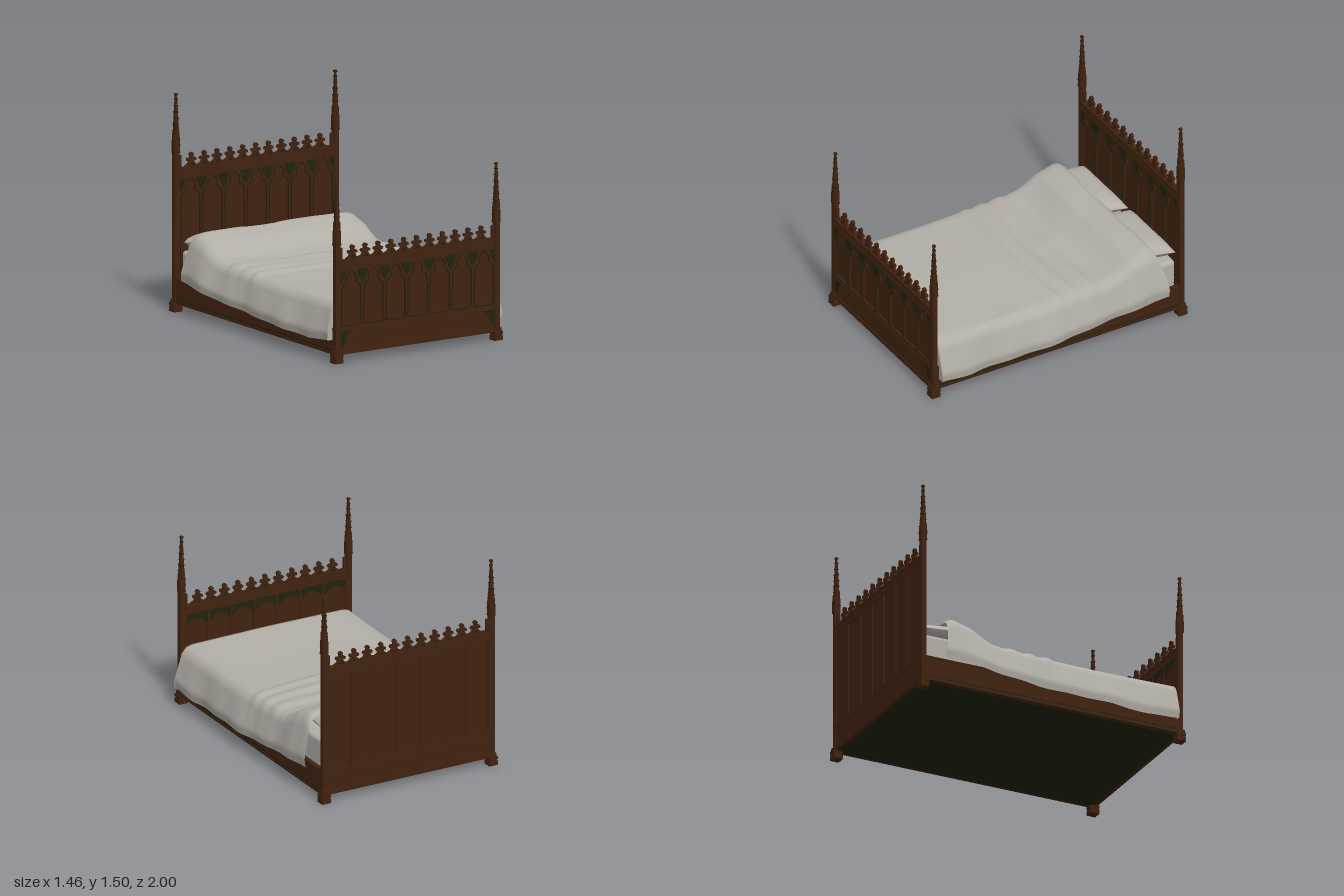
import * as THREE from 'three';
import { RoundedBoxGeometry } from 'three/addons/geometries/RoundedBoxGeometry.js';
import { ParametricGeometry } from 'three/addons/geometries/ParametricGeometry.js';

const wood = new THREE.MeshStandardMaterial({ color: 0x41220f });
wood.name = 'brown wood';
const dark = new THREE.MeshStandardMaterial({ color: 0x20220f });
dark.name = 'dark green stain';
const cloth = new THREE.MeshStandardMaterial({ color: 0xb2aea7, side: THREE.DoubleSide });
cloth.name = 'grey linen';

function add(parent, name, geometry, material, x = 0, y = 0, z = 0) {
  const mesh = new THREE.Mesh(geometry, material);
  mesh.name = name;
  mesh.position.set(x, y, z);
  parent.add(mesh);
  return mesh;
}
// Box given by its width, bottom, top and depth
const slab = (parent, name, mat, w, y0, y1, d, x = 0, z = 0) =>
  add(parent, name, new THREE.BoxGeometry(w, y1 - y0, d), mat, x, (y0 + y1) / 2, z);
const extrude = (shape, depth) =>
  new THREE.ExtrudeGeometry(shape, { depth, bevelEnabled: false, curveSegments: 6 });
const polygon = pts => new THREE.Shape(pts.map(p => new THREE.Vector2(...p)));

// Trefoil-headed opening centred on cx
function archPath(cx, y0, y1) {
  const w = 0.077, p = new THREE.Path();
  p.moveTo(cx - w, y0 + 0.012);
  p.lineTo(cx + w, y0 + 0.012);
  p.lineTo(cx + w, y1 - 0.15);
  p.quadraticCurveTo(cx + w, y1 - 0.1, cx + 0.03, y1 - 0.093);
  p.bezierCurveTo(cx + 0.056, y1 - 0.06, cx + 0.034, y1 - 0.03, cx, y1 - 0.014);
  p.bezierCurveTo(cx - 0.034, y1 - 0.03, cx - 0.056, y1 - 0.06, cx - 0.03, y1 - 0.093);
  p.quadraticCurveTo(cx - w, y1 - 0.1, cx - w, y1 - 0.15);
  p.lineTo(cx - w, y0 + 0.012);
  return p;
}

// Openwork finial for the cresting
function fleuronShape() {
  const half = [[0.052, 0], [0.048, 0.012], [0.03, 0.02], [0.017, 0.042], [0.034, 0.042],
    [0.038, 0.056], [0.028, 0.064], [0.012, 0.062], [0.011, 0.074], [0.018, 0.084], [0.01, 0.096]];
  const s = polygon([...half, [0, 0.1], ...half.slice().reverse().map(([x, y]) => [-x, y])]);
  s.holes.push(polygon([[-0.02, 0.006], [0.02, 0.006], [0, 0.032]]));
  return s;
}

// Carved board; the tracery faces +z, plain panelling faces -z
function makeBoard(name, y1, scalloped) {
  const g = new THREE.Group(), y0 = 0.245, W = 1.256, cell = W / 7;
  g.name = name;
  slab(g, 'backPanel', wood, W, 0.06, y1 + 0.05, 0.014, 0, -0.003);
  slab(g, 'bottomMoulding', wood, 1.27, 0.057, 0.085, 0.04);
  slab(g, 'lowerRail', wood, W, 0.085, 0.215, 0.026);
  slab(g, 'middleMoulding', wood, W, 0.215, 0.228, 0.04);
  slab(g, 'middleLip', wood, W, 0.228, y0, 0.032);
  slab(g, 'panelTopMoulding', wood, W, y1, y1 + 0.014, 0.034);
  slab(g, 'topRail', wood, W, y1 + 0.014, y1 + 0.045, 0.028);
  slab(g, 'topMoulding', wood, W, y1 + 0.045, y1 + 0.064, 0.042);

  // Tracery with seven arches
  const plate = polygon([[-W / 2, y0], [W / 2, y0], [W / 2, y1], [-W / 2, y1]]);
  for (let i = 0; i < 7; i++) {
    const cx = (i - 3) * cell, path = archPath(cx, y0, y1);
    plate.holes.push(path);
    const pts = path.getPoints(5).slice(0, -1).map(p => new THREE.Vector3(p.x, p.y, 0.015));
    add(g, 'archMoulding', new THREE.TubeGeometry(
      new THREE.CatmullRomCurve3(pts, true, 'catmullrom', 0.1), 64, 0.004, 4, true), dark);
  }
  add(g, 'tracery', extrude(plate, 0.011), wood, 0, 0, 0.004);
  // Stained spandrels, half width at the ends
  for (let i = 0; i <= 7; i++) {
    const a = i === 0 ? 0 : -0.044, b = i === 7 ? 0 : 0.044;
    const tri = new THREE.Shape();
    tri.moveTo(a, -0.01);
    tri.quadraticCurveTo(a * 0.8, -0.06, 0, -0.1);
    tri.quadraticCurveTo(b * 0.8, -0.06, b, -0.01);
    add(g, 'spandrel', extrude(tri, 0.004), dark, -W / 2 + i * cell, y1, 0.0145);
  }
  // Stained corners of the lower rail
  for (const s of [-1, 1]) {
    const pts = [[0, 0.213], [-s * 0.09, 0.213], [-s * 0.05, 0.18], [-s * 0.035, 0.13], [0, 0.1]];
    if (s < 0) pts.reverse();
    add(g, 'railStain', extrude(polygon(pts), 0.003), dark, s * 0.627, 0, 0.0125);
  }
  // Plain back with narrow battens
  for (let i = 0; i <= 7; i++)
    slab(g, 'backBatten', wood, 0.014, y0, y1, 0.01, (i - 3.5) * cell * 0.99, -0.013);
  if (scalloped) {
    for (let i = 0; i < 7; i++) {
      const s = new THREE.Shape();
      s.moveTo(-cell / 2, 0);
      s.lineTo(-cell / 2, -0.1);
      s.quadraticCurveTo(-cell / 4, -0.04, 0, -0.035);
      s.quadraticCurveTo(cell / 4, -0.04, cell / 2, -0.1);
      s.lineTo(cell / 2, 0);
      add(g, 'backStain', extrude(s, 0.004), dark, (i - 3) * cell, y1, -0.0135);
    }
  }
  // Cresting
  const fleuron = extrude(fleuronShape(), 0.02);
  for (let i = -5; i <= 5; i++) {
    add(g, 'fleuron', fleuron, wood, i * 0.1045, y1 + 0.062, -0.01);
    slab(g, 'fleuronFoot', dark, 0.05, y1 + 0.062, y1 + 0.084, 0.008, i * 0.1045);
  }
  for (const s of [-1, 1])
    slab(g, 'endFleuron', wood, 0.022, y1 + 0.062, y1 + 0.15, 0.02, s * 0.617);
  return g;
}

// Corner post with stepped foot, gabled shaft and crocketed spire
function makePost(name, top) {
  const g = new THREE.Group(), yg = top - 0.41, ys = top - 0.29;
  g.name = name;
  [[0, 0.03, 0.066], [0.03, 0.042, 0.06], [0.042, 0.062, 0.066], [0.062, 0.085, 0.054]]
    .forEach(([a, b, w]) => slab(g, 'footStep', wood, w, a, b, w));
  slab(g, 'shaft', wood, 0.036, 0.08, ys, 0.036);
  slab(g, 'shaftCollar', wood, 0.044, yg, yg + 0.012, 0.044);
  const gable = extrude(polygon([[-0.017, 0], [0.017, 0], [0.017, 0.075], [0, 0.115], [-0.017, 0.075]]), 0.006);
  for (let i = 0; i < 4; i++) {
    const a = i * Math.PI / 2;
    const m = add(g, 'gable', gable, wood, Math.sin(a) * 0.017, yg + 0.01, Math.cos(a) * 0.017);
    m.rotation.y = a;
    const c = add(g, 'pinnacle', new THREE.ConeGeometry(0.008, 0.1, 4), wood,
      Math.sin(a + Math.PI / 4) * 0.024, ys - 0.02, Math.cos(a + Math.PI / 4) * 0.024);
    c.rotation.y = a;
  }
  const spire = new THREE.CylinderGeometry(0.008, 0.023, 0.29, 4).toNonIndexed();
  spire.computeVertexNormals();
  add(g, 'spire', spire, wood, 0, ys + 0.145, 0).rotation.y = Math.PI / 4;
  for (let i = 0; i < 6; i++) {
    const w = 0.036 - i * 0.0032;
    slab(g, 'crocketRing', i % 2 ? dark : wood, w, ys + 0.03 + i * 0.043, ys + 0.038 + i * 0.043, w);
  }
  slab(g, 'finial', wood, 0.02, top - 0.014, top, 0.02);
  return g;
}

// Linear lookup in a list of [position, value...] pairs with rising positions
function lookup(keys, t) {
  let i = 1;
  while (i < keys.length - 1 && t > keys[i][0]) i++;
  const [a, va] = keys[i - 1], [b, vb] = keys[i];
  return va + (vb - va) * THREE.MathUtils.clamp((t - a) / (b - a), 0, 1);
}
const topLine = [[-0.79, 0.54], [-0.76, 0.57], [-0.72, 0.58], [-0.58, 0.545], [-0.5, 0.495], [-0.42, 0.455],
  [-0.32, 0.438], [-0.26, 0.45], [-0.17, 0.434], [-0.11, 0.45], [-0.04, 0.434], [0.02, 0.449],
  [0.07, 0.43], [0.4, 0.425], [0.94, 0.432]];
const hemLine = [[-0.83, 0.22], [-0.4, 0.17], [0, 0.14], [0.7, 0.115], [0.94, 0.135]];
const sectionX = [[0, 0], [0.6, 0.58], [0.66, 0.63], [0.72, 0.662], [0.92, 0.715], [1, 0.705]];
const sectionDrop = [[0, 0], [0.6, 0.02], [0.66, 0.06], [0.72, 0.19], [0.92, 0.8], [1, 1]];

// Blanket: a cross-section swept along the bed, hanging at the foot
function blanketPoint(u, v, target) {
  const s = 2 * u - 1, a = Math.abs(s), side = THREE.MathUtils.smoothstep(a, 0.6, 1);
  const foot = Math.min(v / 0.07, 1), t = Math.max(0, (v - 0.07) / 0.93);
  let z = 0.94 - t * (1.72 + 0.05 * side + 0.012 * Math.sin(s * 9));
  let x = lookup(sectionX, a);
  const crest = lookup(topLine, z + 0.06 * (x / 0.6) ** 2 * (1 - t * t));
  const hem = lookup(hemLine, z) + (s < 0 ? 0.02 : 0);
  let y = crest - (crest - hem) * lookup(sectionDrop, a);
  x += side * (0.01 * Math.sin(z * 7 + s) + 0.006 * Math.sin(z * 19));
  y += (1 - side) * 0.005 * Math.sin(x * 8 + z * 11) * THREE.MathUtils.smoothstep(t, 0.45, 0.7);
  y = hem + (y - hem) * foot;
  z -= (1 - foot) * 0.004 * Math.sin(x * 12);
  target.set(Math.sign(s) * x, y, z);
}

function makePillow() {
  const g = new THREE.Group();
  g.name = 'pillow';
  for (const k of [1, -1]) {
    const geo = new ParametricGeometry((u, v, p) => {
      const a = 2 * u - 1, b = 2 * v - 1;
      p.set(a * 0.295 * (1 - 0.06 * (1 - b * b)), k * 0.062 * Math.sqrt((1 - a ** 4) * (1 - b ** 4)),
        b * 0.165 * (1 - 0.08 * (1 - a * a)));
    }, 24, 16);
    geo.computeVertexNormals();
    add(g, k > 0 ? 'pillowTop' : 'pillowUnderside', geo, cloth);
  }
  return g;
}

export function createModel() {
  const bed = new THREE.Group();
  bed.name = 'bed';
  const foot = makeBoard('footboard', 0.64, true), head = makeBoard('headboard', 0.92, false);
  foot.position.z = 0.967;
  head.position.z = -0.967;
  bed.add(foot, head);
  for (const s of [-1, 1]) {
    for (const [name, top, z] of [['footPost', 1.22, 0.967], ['headPost', 1.5, -0.967]]) {
      const post = makePost(name, top);
      post.position.set(s * 0.647, 0, z);
      bed.add(post);
    }
    // Side rails
    slab(bed, 'sideRail', wood, 0.024, 0.06, 0.235, 1.9, s * 0.65);
    slab(bed, 'railMoulding', wood, 0.034, 0.058, 0.078, 1.9, s * 0.652);
    slab(bed, 'railGroove', dark, 0.028, 0.078, 0.09, 1.9, s * 0.651);
    slab(bed, 'railTopLip', wood, 0.032, 0.222, 0.236, 1.9, s * 0.65);
    const pillow = makePillow();
    pillow.position.set(s * 0.31, 0.492, -0.79);
    pillow.rotation.x = -0.12;
    bed.add(pillow);
  }
  slab(bed, 'underside', dark, 1.28, 0.055, 0.07, 1.92);
  add(bed, 'mattress', new RoundedBoxGeometry(1.24, 0.2, 1.87, 3, 0.03), cloth, 0, 0.32, -0.01);
  slab(bed, 'boxBase', cloth, 1.24, 0.1, 0.24, 1.86);
  const blanket = new ParametricGeometry(blanketPoint, 80, 110);
  blanket.computeVertexNormals();
  add(bed, 'blanket', blanket, cloth);
  return bed;
}
